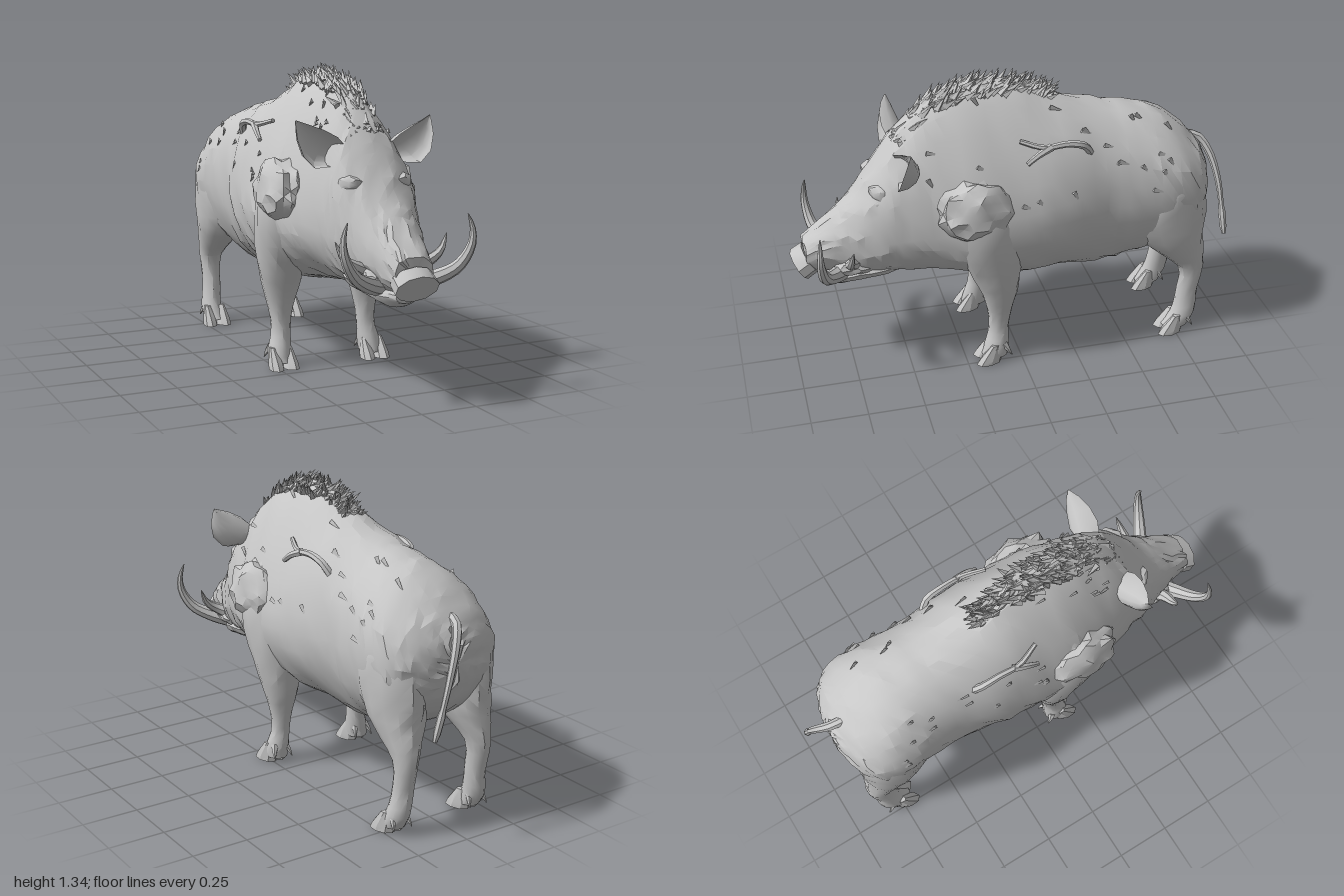
import * as THREE from 'three';
import { toCreasedNormals, mergeVertices } from 'three/addons/utils/BufferGeometryUtils.js';

const hide = new THREE.MeshStandardMaterial({ color: 0xc6c6c6 });
hide.name = 'grey hide';
hide.side = THREE.DoubleSide;

// Small seeded random generator
function seeded(seed) {
  return () => {
    seed = (seed * 16807) % 2147483647;
    return seed / 2147483647;
  };
}

// Closed skin over a list of rings, each counter-clockwise seen from the next ring
function loft(rings) {
  const n = rings[0].length, pos = [], idx = [];
  rings.forEach(r => r.forEach(p => pos.push(p.x, p.y, p.z)));
  for (let i = 0; i < rings.length - 1; i++) {
    for (let j = 0; j < n; j++) {
      const a = i * n + j, b = i * n + (j + 1) % n;
      idx.push(a, b, b + n, a, b + n, a + n);
    }
  }
  [0, rings.length - 1].forEach((ri, end) => {
    const c = rings[ri].reduce((s, p) => s.add(p), new THREE.Vector3()).divideScalar(n);
    const ci = pos.length / 3;
    pos.push(c.x, c.y, c.z);
    for (let j = 0; j < n; j++) {
      const a = ri * n + j, b = ri * n + (j + 1) % n;
      if (end) idx.push(a, b, ci); else idx.push(b, a, ci);
    }
  });
  const g = new THREE.BufferGeometry();
  g.setAttribute('position', new THREE.Float32BufferAttribute(pos, 3));
  g.setIndex(idx);
  return g;
}

// Ring from an angle rule
const ring = (n, f) => Array.from({ length: n }, (_, j) => f(j / n * Math.PI * 2));
const vec = a => new THREE.Vector3(...a);
const spline = (rows, from, to) => new THREE.CatmullRomCurve3(rows.map(s => vec(s.slice(from, to))), false, 'catmullrom');

// Tapered tube along points; radius is a function of t
function taper(points, radius, steps = 12, sides = 8) {
  const curve = new THREE.CatmullRomCurve3(points.map(vec));
  const f = curve.computeFrenetFrames(steps, false);
  return loft(Array.from({ length: steps + 1 }, (_, i) => {
    const p = curve.getPointAt(i / steps), r = radius(i / steps);
    return ring(sides, a => p.clone().addScaledVector(f.normals[i], r * Math.cos(a))
      .addScaledVector(f.binormals[i], r * Math.sin(a)));
  }));
}

// Skin through sections [z, bottom, top, halfWidth, widestY, upperExponent], smoothed along z
function torso(sections, steps, sides, rough) {
  const rnd = seeded(77), ends = spline(sections, 0, 3), shape = spline(sections, 3, 6);
  return loft(Array.from({ length: steps + 1 }, (_, i) => {
    const A = ends.getPoint(i / steps), B = shape.getPoint(i / steps);
    return ring(sides, a => {
      const c = Math.cos(a), s = Math.sin(a), e = s > 0 ? B.z : 1;
      const x = B.x * Math.sign(c) * Math.abs(c) ** e;
      const y = B.y + (s > 0 ? A.z - B.y : B.y - A.y) * Math.sign(s) * Math.abs(s) ** e;
      const j = () => (rnd() - 0.5) * rough;
      return new THREE.Vector3(x + j(), y + j(), A.x + j());
    });
  }));
}

// Upright limb through sections [y, x, z, radiusX, radiusZ], smoothed along y
function limb(sections) {
  const steps = sections.length * 2, rnd = seeded(31);
  const path = spline(sections, 0, 3), size = spline(sections.map(s => [s[3], s[4], 0]), 0, 3);
  return loft(Array.from({ length: steps + 1 }, (_, i) => {
    const p = path.getPoint(i / steps), r = size.getPoint(i / steps);
    return ring(14, a => {
      const k = 1 + (rnd() - 0.5) * 0.07;
      return new THREE.Vector3(p.y + k * r.x * Math.cos(a), p.x, p.z - k * r.y * Math.sin(a));
    });
  }));
}

// Irregular ellipsoid, its surface pushed in and out by a seeded amount
function lump(x, y, z, sx, sy, sz, rough, detail) {
  const raw = new THREE.IcosahedronGeometry(1, detail);
  raw.deleteAttribute('normal');
  raw.deleteAttribute('uv');
  const g = mergeVertices(raw, 0.001), p = g.attributes.position, rnd = seeded(913);
  for (let i = 0; i < p.count; i++) {
    const k = 1 + (rnd() - 0.5) * rough;
    p.setXYZ(i, p.getX(i) * k, p.getY(i) * k, p.getZ(i) * k);
  }
  return g.scale(sx, sy, sz).translate(x, y, z);
}

function mirror(g) {
  const m = g.clone().scale(-1, 1, 1), id = m.index.array;
  for (let i = 0; i < id.length; i += 3) [id[i], id[i + 1]] = [id[i + 1], id[i]];
  return m;
}

export function createModel() {
  const model = new THREE.Group();
  const rnd = seeded(4242);
  const add = (name, g, crease = 0.6) => {
    const mesh = new THREE.Mesh(toCreasedNormals(g, crease), hide);
    mesh.name = name;
    model.add(mesh);
  };
  const pair = (name, g, crease) => {
    add(name + 'Left', g, crease);
    add(name + 'Right', mirror(g), crease);
  };

  // Body and head in one skin, rump to snout
  const sections = [
    [-0.91, 0.66, 0.82, 0.06, 0.74, 1], [-0.88, 0.58, 0.89, 0.18, 0.74, 1],
    [-0.82, 0.50, 0.97, 0.265, 0.74, 1], [-0.70, 0.43, 1.07, 0.295, 0.74, 1],
    [-0.55, 0.38, 1.115, 0.285, 0.74, 1], [-0.40, 0.35, 1.14, 0.275, 0.74, 1],
    [-0.20, 0.37, 1.20, 0.31, 0.72, 1.1], [0, 0.37, 1.285, 0.32, 0.70, 1.35],
    [0.20, 0.40, 1.295, 0.32, 0.70, 1.45], [0.36, 0.43, 1.24, 0.27, 0.70, 1.35],
    [0.50, 0.44, 1.11, 0.23, 0.68, 1.05], [0.60, 0.44, 0.97, 0.20, 0.66, 0.9],
    [0.70, 0.43, 0.83, 0.16, 0.62, 0.9], [0.80, 0.455, 0.73, 0.12, 0.60, 0.9],
    [0.93, 0.47, 0.625, 0.085, 0.55, 0.9],
  ];
  add('body', torso(sections, 44, 28, 0.012), 0.4);

  // Lower jaw and tilted snout disc
  add('lowerJaw', torso([
    [0.48, 0.46, 0.54, 0.10, 0.50, 1], [0.60, 0.43, 0.54, 0.14, 0.49, 1], [0.70, 0.415, 0.53, 0.13, 0.48, 1],
    [0.80, 0.395, 0.49, 0.09, 0.45, 1], [0.87, 0.425, 0.47, 0.05, 0.45, 1],
  ], 10, 14, 0.004));
  const snout = new THREE.CylinderGeometry(0.076, 0.074, 0.06, 10);
  snout.scale(1.28, 1, 0.9).rotateX(Math.PI / 2 + 0.58).translate(0, 0.515, 0.93);
  add('snout', snout);

  // Legs with shoulder and thigh
  pair('frontLeg', limb([
    [0.03, 0.225, 0.12, 0.05, 0.06], [0.09, 0.22, 0.11, 0.05, 0.055], [0.16, 0.21, 0.1, 0.042, 0.046],
    [0.25, 0.21, 0.095, 0.05, 0.055], [0.35, 0.21, 0.095, 0.078, 0.08], [0.45, 0.21, 0.11, 0.10, 0.11],
    [0.60, 0.21, 0.14, 0.125, 0.155], [0.80, 0.20, 0.17, 0.13, 0.17], [0.98, 0.16, 0.17, 0.07, 0.09],
  ]));
  pair('hindLeg', limb([
    [0.03, 0.2, -0.755, 0.048, 0.06], [0.10, 0.2, -0.795, 0.046, 0.058], [0.20, 0.19, -0.81, 0.043, 0.05],
    [0.33, 0.19, -0.825, 0.05, 0.058], [0.42, 0.18, -0.775, 0.08, 0.105], [0.52, 0.17, -0.72, 0.11, 0.155],
    [0.65, 0.17, -0.70, 0.122, 0.18], [0.82, 0.16, -0.70, 0.12, 0.15], [0.95, 0.13, -0.70, 0.07, 0.09],
  ]));

  // Cloven hooves, pointed in front, and dew claws
  for (const [name, x, z] of [['front', 0.225, 0.115], ['hind', 0.2, -0.765]]) {
    [-1, 1].forEach(k => {
      const toe = loft([[0.004, 0.036, 0.06, 0.04], [0.03, 0.035, 0.054, 0.03], [0.095, 0.018, 0.025, 0.005]]
        .map(([y, rx, rz, dz]) => ring(8, a => {
          const front = -Math.sin(a);
          return new THREE.Vector3(x + k * (0.03 + 0.01 * front) + rx * Math.cos(a), y, z + dz + rz * front);
        })));
      pair(name + 'Toe', toe, 0.5);
      pair(name + 'DewClaw', taper([[x + k * 0.025, 0.09, z - 0.03], [x + k * 0.04, 0.06, z - 0.05],
        [x + k * 0.045, 0.035, z - 0.065]], t => 0.018 * (1 - t) + 0.002, 4, 6), 0.4);
    });
  }

  // Ears: deep rings with a hollow front
  const earRows = [[0.13, 0.98, 0.49, 0.05, 0.06], [0.195, 1.0, 0.50, 0.08, 0.075],
    [0.25, 1.04, 0.505, 0.07, 0.06], [0.29, 1.085, 0.50, 0.04, 0.035], [0.312, 1.13, 0.49, 0.004, 0.004]];
  pair('ear', loft(earRows.map(([x, y, z, w, d]) => ring(14, a => {
    const u = -Math.cos(a) * w, s = Math.sin(a);
    const depth = s > 0 ? d * (0.5 - 0.9 * s) : d * (0.5 + 1.4 * s);
    return new THREE.Vector3(x + u * 0.62, y - u * 0.78, z + depth);
  }).reverse())), 0.7);

  // Tusks
  pair('lowerTusk', taper([[0.07, 0.48, 0.77], [0.15, 0.505, 0.82], [0.235, 0.555, 0.865], [0.285, 0.64, 0.885],
    [0.29, 0.71, 0.885], [0.27, 0.77, 0.88]], t => 0.038 * (1 - t) ** 0.7 + 0.002, 14, 8));
  pair('upperTusk', taper([[0.09, 0.53, 0.70], [0.16, 0.56, 0.745], [0.22, 0.60, 0.75], [0.255, 0.67, 0.74]],
    t => 0.036 * (1 - t) ** 0.8 + 0.002, 8, 7));

  // Brows, eyes, lips and matted shoulder mass
  pair('brow', lump(0.11, 0.875, 0.575, 0.06, 0.04, 0.075, 0.2, 1), 0.7);
  pair('eye', lump(0.145, 0.835, 0.608, 0.017, 0.017, 0.02, 0, 1), 0.9);
  pair('lip', lump(0.105, 0.52, 0.72, 0.05, 0.04, 0.09, 0.25, 2), 0.4);
  pair('shoulderMat', lump(0.25, 0.80, 0.205, 0.105, 0.15, 0.175, 0.2, 3), 0.5);

  // Forked twig lying on each flank
  const twig = t => 0.018 - 0.008 * t;
  pair('twigStem', taper([[0.21, 1.0, -0.31], [0.23, 1.045, -0.28], [0.235, 1.065, -0.20], [0.235, 1.06, -0.10],
    [0.20, 1.085, 0.0]], twig, 12, 6));
  pair('twigBranch', taper([[0.235, 1.06, -0.13], [0.25, 1.035, -0.07], [0.255, 1.0, -0.02]], twig, 6, 6));

  // Tail
  add('tail', taper([[-0.01, 0.92, -0.83], [0.0, 0.905, -0.89], [0.04, 0.83, -0.94], [0.09, 0.71, -0.97],
    [0.13, 0.59, -0.98], [0.17, 0.47, -0.985]], t => 0.022 - 0.013 * t + (t > 0.75 && t < 0.95 ? 0.006 : 0), 16, 7));

  // Bristle mane along the ridge
  const topAt = z => {
    const i = sections.findIndex(s => s[0] >= z), a = sections[i - 1], b = sections[i];
    return a[2] + (b[2] - a[2]) * (z - a[0]) / (b[0] - a[0]);
  };
  for (let i = 0; i < 260; i++) {
    const z = -0.18 + 0.7 * rnd(), half = z < 0 ? 0.045 : 0.075;
    const x = (rnd() * 2 - 1) * half, h = 0.045 + 0.045 * rnd();
    const b = new THREE.ConeGeometry(0.016, h, 4);
    b.translate(0, h / 2, 0).rotateX(-0.4 - 0.9 * rnd()).rotateZ(-x * 2 + (rnd() - 0.5) * 1.2);
    b.translate(x, topAt(z) - 0.008 - Math.abs(x) * 0.45, z);
    add('bristle', b, 0.2);
  }

  // Loose hair slivers lying along the flanks
  for (let i = 0; i < 50; i++) {
    const z = -0.75 + 1.2 * rnd(), s = i % 2 ? 1 : -1, a = 0.1 + 1.1 * rnd();
    const k = sections.findIndex(q => q[0] >= z), p = sections[k - 1], q = sections[k];
    const f = (z - p[0]) / (q[0] - p[0]), m = j => p[j] + (q[j] - p[j]) * f;
    const tuft = new THREE.ConeGeometry(0.014, 0.07, 3);
    tuft.scale(0.5, 1, 1).rotateX(-1.8 - rnd() * 0.9).rotateY(s * 0.12);
    tuft.translate(s * m(3) * Math.cos(a) ** m(5), m(4) + (m(2) - m(4)) * Math.sin(a) ** m(5), z);
    add('hairTuft', tuft, 0.2);
  }
  return model;
}
